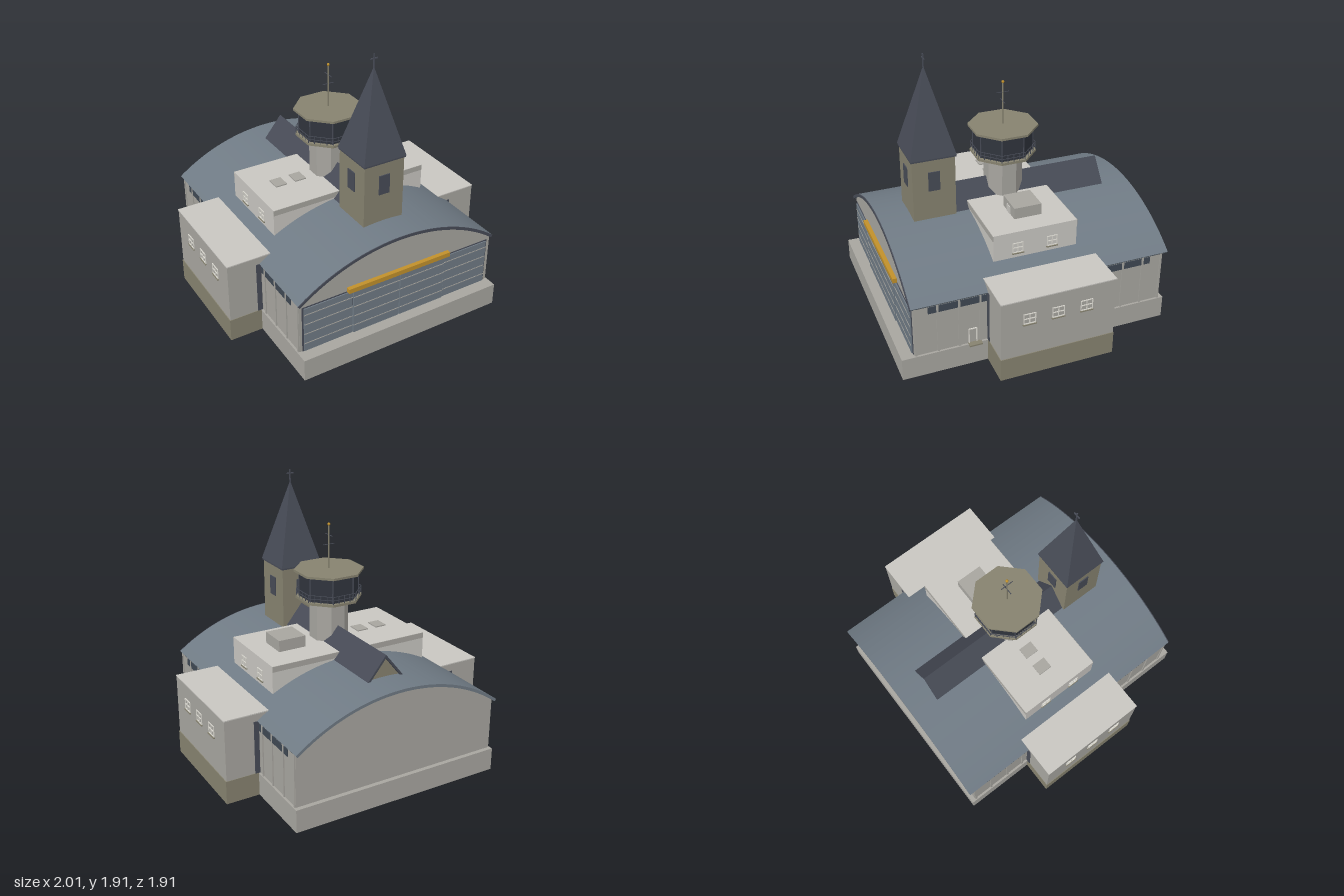
import * as THREE from 'three';

const mat = (name, color) => {
  const m = new THREE.MeshStandardMaterial({ color });
  m.name = name;
  return m;
};

export function createModel() {
  const root = new THREE.Group();
  root.name = 'hangarWithTowers';
  const gray = mat('concrete', 0xa7a59f), light = mat('paleConcrete', 0xc8c6c1), tan = mat('tanStone', 0x86826f);
  const slate = mat('slateBlue', 0x6f7a84), dark = mat('darkSlate', 0x474b56), glass = mat('darkGlass', 0x30343d);
  const pane = mat('stripGlass', 0x3f4853), yellow = mat('yellow', 0xc0902b), white = mat('frameWhite', 0xdad8d0);

  const add = (name, geo, material, parent = root) => {
    const m = new THREE.Mesh(geo, material);
    m.name = name;
    parent.add(m);
    return m;
  };
  // Box given by its extents on each axis
  const box = (name, material, x0, x1, y0, y1, z0, z1, parent = root) => {
    const m = add(name, new THREE.BoxGeometry(Math.abs(x1 - x0), y1 - y0, Math.abs(z1 - z0)), material, parent);
    m.position.set((x0 + x1) / 2, (y0 + y1) / 2, (z0 + z1) / 2);
    return m;
  };
  const flat = (geo) => {
    const g = geo.toNonIndexed();
    g.computeVertexNormals();
    return g;
  };
  const extrude = (name, shape, material, z0, z1) => {
    const g = new THREE.ExtrudeGeometry(shape, { depth: z1 - z0, bevelEnabled: false, curveSegments: 24 });
    g.translate(0, 0, z0);
    return add(name, g, material);
  };
  const poly = (pts) => new THREE.Shape(pts.map(([x, y]) => new THREE.Vector2(x, y)));

  // Plinth and vaulted hangar body
  box('plinth', gray, -0.765, 0.765, 0, 0.16, -0.95, 0.955);
  const R = 1.275, cy = -0.48;
  const bodyArc = Math.acos(0.75 / (R - 0.018)), roofArc = Math.acos(0.765 / R);
  const body = new THREE.Shape();
  body.moveTo(-0.75, 0.16);
  body.lineTo(0.75, 0.16);
  body.absarc(0, cy, R - 0.018, bodyArc, Math.PI - bodyArc, false);
  body.closePath();
  extrude('hangarBody', body, gray, -0.92, 0.865);

  // Curved roof shell and its dark front trim
  const shell = () => {
    const s = new THREE.Shape();
    s.absarc(0, cy, R, roofArc, Math.PI - roofArc, false);
    s.absarc(0, cy, R - 0.02, Math.PI - roofArc, roofArc, true);
    s.closePath();
    return s;
  };
  extrude('hangarRoof', shell(), slate, -0.955, 0.88);
  extrude('roofTrim', shell(), dark, 0.88, 0.886);

  // Sliding hangar doors
  box('doorFrame', dark, -0.73, 0.73, 0.16, 0.505, 0.86, 0.869);
  const edges = [-0.722, -0.36, 0, 0.36, 0.722];
  for (let i = 0; i < 4; i++) {
    const front = i === 1 || i === 2 ? 0.883 : 0.877;
    box('hangarDoor', slate, edges[i] + 0.003, edges[i + 1] - 0.003, 0.165, 0.498, 0.865, front);
    for (const y of [0.225, 0.3, 0.375, 0.45])
      box('doorRib', gray, edges[i] + 0.003, edges[i + 1] - 0.003, y - 0.003, y + 0.003, front, front + 0.002);
  }
  box('doorBeam', yellow, -0.4, 0.395, 0.502, 0.535, 0.865, 0.895);

  // Framed window on a wall facing along x
  const sideWindow = (x, s, y, z, w, h) => {
    const g = new THREE.Group();
    g.name = 'window';
    root.add(g);
    const t = 0.005, x1 = x + s * 0.006;
    for (const k of [-1, 0, 1]) {
      const zc = z + k * (w / 2 - t / 2), yc = y + k * (h / 2 - t / 2);
      box('windowPost', white, x, x1, y - h / 2, y + h / 2, zc - t / 2, zc + t / 2, g);
      box('windowRail', white, x, x1, yc - t / 2, yc + t / 2, z - w / 2, z + w / 2, g);
    }
    box('windowSill', tan, x, x + s * 0.01, y - h / 2 - 0.008, y - h / 2, z - w / 2 - 0.004, z + w / 2 + 0.004, g);
  };

  const strips = [[0.71, 0.765], [0.565, 0.695], [0.42, 0.55], [0.36, 0.405],
    [-0.475, -0.43], [-0.61, -0.49], [-0.76, -0.625], [-0.825, -0.775]];
  for (const s of [-1, 1]) {
    // High strip windows and wall piers
    for (const [a, b] of strips) box('stripWindow', pane, s * 0.748, s * 0.755, 0.47, 0.52, a, b);
    for (const z of [0.855, 0.703, 0.557, 0.412, -0.482, -0.618, -0.768, -0.91])
      box('wallPier', gray, s * 0.745, s * 0.758, 0.16, 0.54, z - 0.007, z + 0.007);

    // Side annex
    box('annexBase', tan, s * 0.765, s, 0, 0.165, -0.44, 0.367);
    box('annexWalls', gray, s * 0.685, s * 0.995, 0.16, 0.595, -0.437, 0.363);
    box('annexRoof', light, s * 0.683, s * 0.998, 0.593, 0.6, -0.44, 0.366);
    box('annexJoint', dark, s * 0.755, s * 0.79, 0.165, 0.54, -0.441, 0.367);
    for (const z of [0.17, -0.03, -0.23]) sideWindow(s * 0.995, s, 0.448, z, 0.086, 0.078);

    // Rooftop block windows
    for (const z of [0.09, -0.155]) sideWindow(s * 0.597, s, 0.72, z, 0.075, 0.075);
  }

  // Side door with step
  for (const z of [0.437, 0.49]) box('sideDoorPost', white, 0.75, 0.757, 0.16, 0.275, z, z + 0.006);
  box('sideDoorHead', white, 0.75, 0.757, 0.27, 0.276, 0.437, 0.496);
  box('sideDoorStep', tan, 0.75, 0.79, 0.155, 0.165, 0.41, 0.5);

  // Rooftop block, parapet bands, stair hut and hatches
  box('roofBlock', light, -0.597, 0.597, 0.6, 0.84, -0.333, 0.263);
  for (const z of [-0.336, 0.262]) box('parapetBand', gray, -0.597, 0.597, 0.8, 0.839, z, z + 0.004);
  box('stairHut', gray, 0.245, 0.445, 0.84, 0.92, -0.14, 0.055);
  box('stairHutDoor', light, 0.318, 0.372, 0.84, 0.895, 0.055, 0.06);
  for (const x of [-0.4, -0.25]) box('roofHatch', gray, x - 0.042, x + 0.042, 0.838, 0.848, -0.09, 0.01);

  // Gabled ridge along the vault
  extrude('ridgeWalls', poly([[-0.12, 0.74], [0.12, 0.74], [0.12, 0.785], [0, 0.932], [-0.12, 0.785]]), tan, -0.735, 0.38);
  extrude('ridgeRoof', poly([[-0.14, 0.78], [-0.125, 0.775], [0, 0.93], [0.125, 0.775], [0.14, 0.78], [0, 0.953]]), dark, -0.755, 0.38);

  // Bell tower with spire and cross
  const zc = 0.512;
  box('bellTower', tan, -0.15, 0.15, 0.7, 1.235, zc - 0.15, zc + 0.15);
  box('towerCornice', dark, -0.157, 0.157, 1.228, 1.24, zc - 0.157, zc + 0.157);
  const spire = add('spire', flat(new THREE.ConeGeometry(0.16 * Math.SQRT2, 0.592, 4, 1, false, Math.PI / 4)), dark);
  spire.position.set(0, 1.536, zc);
  for (let i = 0; i < 4; i++) {
    const g = new THREE.Group();
    g.name = 'belfryWindow';
    g.position.z = zc;
    g.rotation.y = i * Math.PI / 2;
    root.add(g);
    box('belfryLouver', dark, -0.04, 0.04, 1.0, 1.14, 0.148, 0.157, g);
  }
  box('crossPost', dark, -0.004, 0.004, 1.82, 1.915, zc - 0.004, zc + 0.004);
  box('crossArm', dark, -0.026, 0.026, 1.881, 1.889, zc - 0.004, zc + 0.004);

  // Octagonal control tower
  const control = new THREE.Group();
  control.name = 'controlTower';
  control.position.z = -0.035;
  root.add(control);
  const k = 1 / Math.cos(Math.PI / 8);
  const octagon = (name, material, apothem, y0, y1) => {
    const g = new THREE.CylinderGeometry(apothem * k, apothem * k, y1 - y0, 8, 1, false, Math.PI / 8);
    add(name, flat(g), material, control).position.y = (y0 + y1) / 2;
  };
  octagon('towerShaft', gray, 0.125, 0.7, 1.13);
  octagon('towerDeck', tan, 0.212, 1.125, 1.142);
  octagon('controlCab', glass, 0.19, 1.142, 1.316);
  octagon('cabRoof', tan, 0.224, 1.316, 1.332);
  const rod = (name, material, r, len, x, y, z, parent = control) => {
    const m = add(name, new THREE.CylinderGeometry(r, r, len, 6), material, parent);
    m.position.set(x, y, z);
    return m;
  };
  // Deck railing and cab mullions, one set per side
  for (let i = 0; i < 8; i++) {
    const side = new THREE.Group();
    side.name = 'towerSide';
    side.rotation.y = i * Math.PI / 4;
    control.add(side);
    for (const y of [1.17, 1.195]) rod('handrail', dark, 0.0025, 0.173, 0, y, 0.208, side).rotation.z = Math.PI / 2;
    for (const x of [-0.086, -0.043, 0, 0.043]) rod('railPost', dark, 0.0025, 0.055, x, 1.168, 0.208, side);
    rod('cabMullion', dark, 0.005, 0.174, -0.079, 1.229, 0.19, side);
  }

  // Antenna mast
  rod('mast', tan, 0.005, 0.31, 0, 1.485, 0);
  rod('antennaBarZ', dark, 0.003, 0.09, 0, 1.565, 0).rotation.x = Math.PI / 2;
  rod('antennaBarX', dark, 0.003, 0.085, 0, 1.5, 0).rotation.z = Math.PI / 2;
  add('mastTip', new THREE.SphereGeometry(0.01, 10, 8), yellow, control).position.y = 1.64;

  return root;
}
